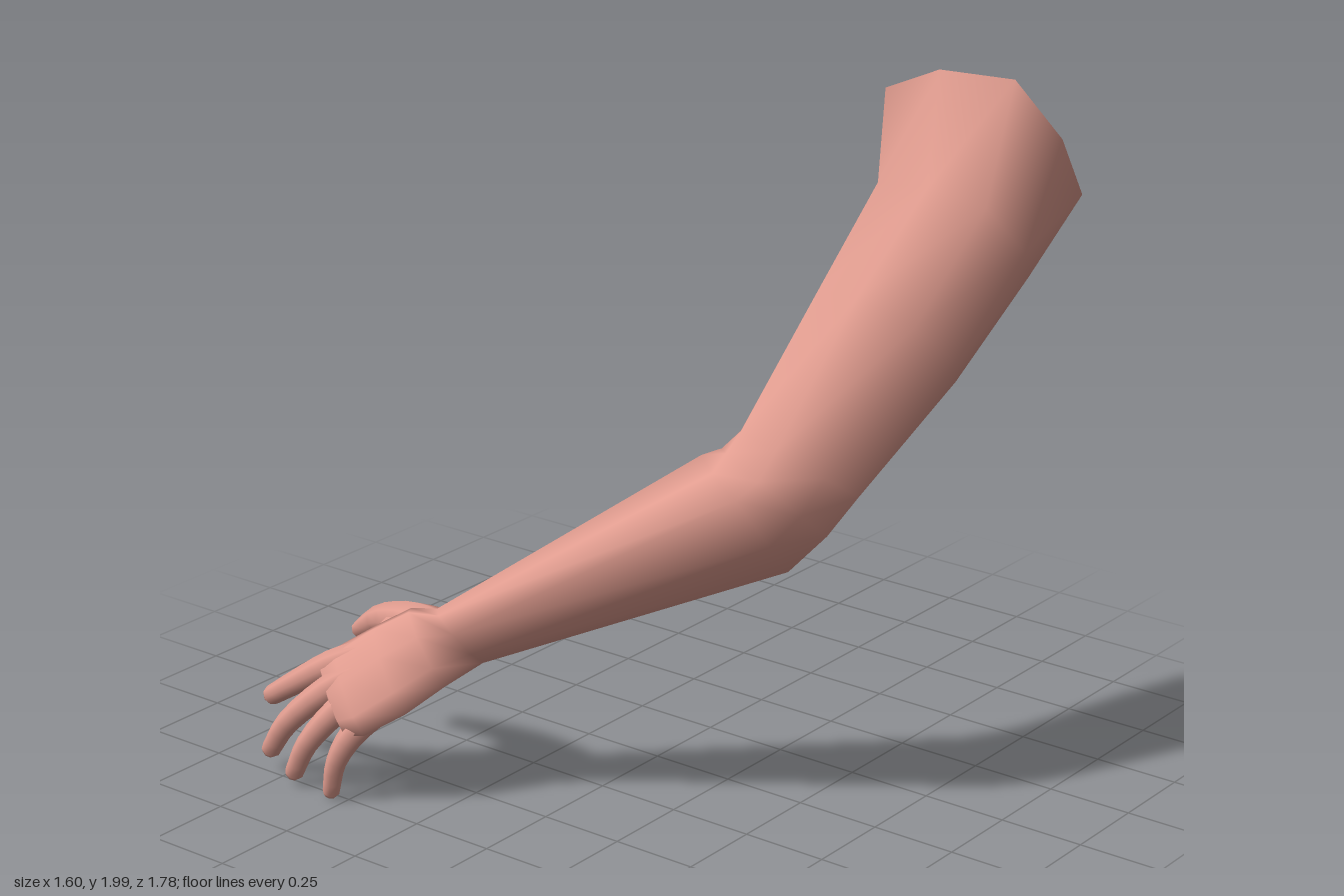
import * as THREE from 'three';

const V = (a) => new THREE.Vector3(...a);

// Skin a list of equal-sized rings, closed with a tip point
function loft(rings, tip) {
  const n = rings[0].length, pos = [], idx = [];
  rings.forEach((r) => r.forEach((p) => pos.push(p.x, p.y, p.z)));
  for (let i = 0; i < rings.length - 1; i++) {
    for (let k = 0; k < n; k++) {
      const a = i * n + k, b = i * n + (k + 1) % n;
      idx.push(a, a + n, b, b, a + n, b + n);
    }
  }
  const base = (rings.length - 1) * n, t = pos.length / 3;
  pos.push(tip.x, tip.y, tip.z);
  for (let k = 0; k < n; k++) idx.push(base + k, t, base + (k + 1) % n);
  const g = new THREE.BufferGeometry();
  g.setAttribute('position', new THREE.Float32BufferAttribute(pos, 3));
  g.setIndex(idx);
  g.computeVertexNormals();
  return g;
}

// Elliptical ring from a centre and two half-axis vectors
function ring(c, u, v) {
  return Array.from({ length: 8 }, (_, k) => {
    const a = (k / 8) * Math.PI * 2;
    return c.clone().addScaledVector(u, Math.cos(a)).addScaledVector(v, Math.sin(a));
  });
}

// Finger along a bent path, with one radius per path point and a blunt tip
function finger(path, radii) {
  const curve = new THREE.CatmullRomCurve3(path.map(V));
  const rings = [], steps = 9, last = radii.length - 1, back = V([-0.72, 0.7, 0]);
  const frame = (t, r, shift) => {
    const d = curve.getTangent(t);
    const u = back.clone().addScaledVector(d, -back.dot(d)).normalize();
    const v = u.clone().cross(d);
    return ring(curve.getPoint(t).addScaledVector(d, shift), u.multiplyScalar(r), v.multiplyScalar(r));
  };
  for (let i = 0; i <= steps; i++) {
    const s = (i / steps) * last, j = Math.min(Math.floor(s), last - 1);
    rings.push(frame(i / steps, THREE.MathUtils.lerp(radii[j], radii[j + 1], s - j), 0));
  }
  const r = radii[last];
  rings.push(frame(1, r * 0.7, r * 0.5));
  return loft(rings, curve.getPoint(1).addScaledVector(curve.getTangent(1), r * 0.7));
}

export function createModel() {
  const group = new THREE.Group();
  const skin = new THREE.MeshStandardMaterial({ color: 0xe09c8f, side: THREE.DoubleSide });
  skin.name = 'skin';
  const add = (name, geometry) => {
    const m = new THREE.Mesh(geometry, skin);
    m.name = name;
    group.add(m);
  };

  // Open, slanted shoulder rim
  const rim = [
    [0.51, 2.0, 0.56], [0.54, 2.0, 0.78], [0.61, 1.84, 0.89], [0.79, 1.64, 0.85],
    [0.8, 1.58, 0.65], [0.78, 1.58, 0.43], [0.64, 1.72, 0.39], [0.52, 1.92, 0.38],
  ].map(V);

  // Squarish section just below the shoulder
  const upper = [
    [0.375, 1.712, 0.62], [0.385, 1.685, 0.8], [0.515, 1.54, 0.845], [0.61, 1.44, 0.8],
    [0.65, 1.4, 0.625], [0.61, 1.44, 0.47], [0.51, 1.575, 0.405], [0.39, 1.695, 0.45],
  ].map(V);

  // Bony section at the elbow
  const elbow = [
    [-0.3, 0.99, 0.49], [-0.22, 0.85, 0.545], [-0.1, 0.735, 0.52], [-0.03, 0.755, 0.43],
    [0.015, 0.83, 0.33], [-0.06, 0.95, 0.275], [-0.17, 1.035, 0.28], [-0.255, 1.03, 0.38],
  ].map(V);

  const sections = (list) => list.map((s) => ring(...s.map(V)));
  const upperArm = sections([
    [[0.265, 1.315, 0.575], [-0.145, 0.145, 0], [0, -0.03, 0.222]],
    [[-0.02, 1.015, 0.495], [-0.15, 0.085, 0.03], [0.02, -0.06, 0.18]],
    [[-0.085, 0.945, 0.46], [-0.14, 0.082, 0.05], [0.02, -0.095, 0.16]],
  ]);
  // Wrist to knuckles
  const palm = sections([
    [[-0.527, 0.487, -0.275], [-0.07, 0.035, 0.035], [0.015, -0.068, 0.068]],
    [[-0.575, 0.45, -0.35], [-0.058, 0.05, 0.01], [-0.03, -0.085, 0.085]],
    [[-0.637, 0.385, -0.43], [-0.052, 0.05, 0], [-0.065, -0.085, 0.105]],
    [[-0.7, 0.313, -0.53], [-0.038, 0.037, 0], [-0.07, -0.08, 0.11]],
    [[-0.722, 0.288, -0.575], [-0.025, 0.024, 0], [-0.06, -0.066, 0.097]],
  ]);
  add('armAndPalm', loft([rim, upper, ...upperArm, elbow, ...palm], V([-0.728, 0.28, -0.59])));

  // Fingers, each running from inside the palm to its tip
  add('indexFinger', finger([[-0.63, 0.41, -0.52], [-0.66, 0.355, -0.63], [-0.675, 0.27, -0.76], [-0.66, 0.197, -0.868]], [0.042, 0.041, 0.034, 0.029]));
  add('middleFinger', finger([[-0.67, 0.37, -0.5], [-0.71, 0.305, -0.6], [-0.745, 0.18, -0.73], [-0.738, 0.075, -0.805]], [0.042, 0.04, 0.033, 0.028]));
  add('ringFinger', finger([[-0.69, 0.34, -0.46], [-0.735, 0.26, -0.55], [-0.768, 0.15, -0.635], [-0.765, 0.045, -0.692]], [0.04, 0.038, 0.031, 0.027]));
  add('littleFinger', finger([[-0.69, 0.3, -0.41], [-0.75, 0.22, -0.475], [-0.775, 0.13, -0.52], [-0.768, 0.028, -0.55]], [0.04, 0.037, 0.029, 0.024]));

  // Thumb with a fleshy base
  add('thumb', finger(
    [[-0.525, 0.49, -0.29], [-0.515, 0.48, -0.41], [-0.482, 0.458, -0.52], [-0.457, 0.425, -0.63], [-0.43, 0.355, -0.738]],
    [0.045, 0.062, 0.055, 0.041, 0.026],
  ));

  // Web between thumb and index finger
  add('thumbWeb', loft(sections([
    [[-0.56, 0.47, -0.36], [-0.03, 0.04, 0], [-0.055, -0.035, 0]],
    [[-0.565, 0.448, -0.47], [-0.026, 0.036, 0], [-0.08, -0.04, 0]],
    [[-0.56, 0.43, -0.55], [-0.015, 0.022, 0], [-0.08, -0.04, 0]],
  ]), V([-0.56, 0.425, -0.57])));

  return group;
}
